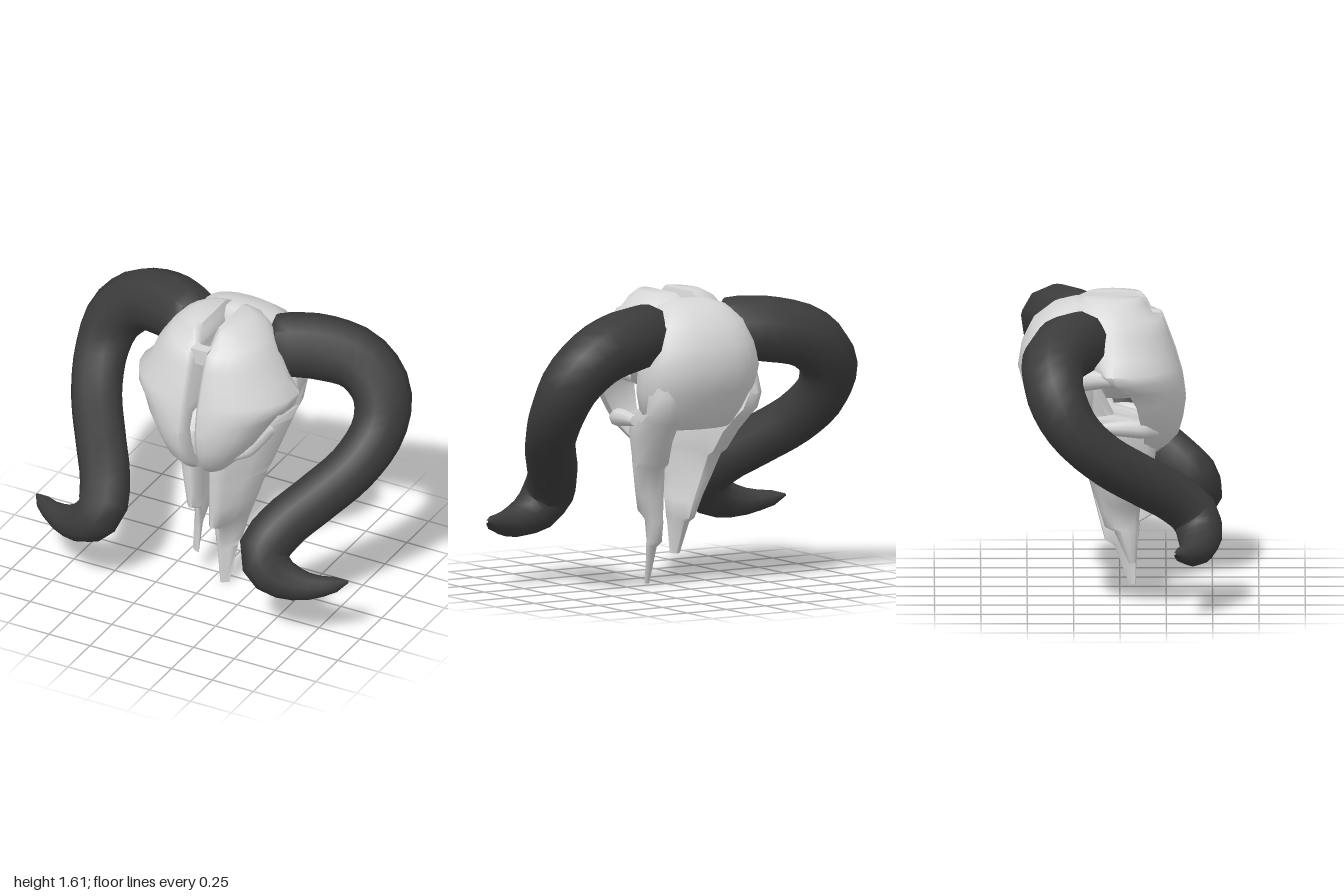
import * as THREE from 'three';
import { toCreasedNormals } from 'three/addons/utils/BufferGeometryUtils.js';

// Skin closed horizontal rings (listed from top to bottom); s = -1 mirrors in x
function loft(rings, s = 1) {
  const n = rings[0].length, pos = [], idx = [];
  const tri = (a, b, c) => (s > 0 ? idx.push(a, b, c) : idx.push(a, c, b));
  rings.forEach(r => r.forEach(([x, y, z]) => pos.push(x * s, y, z)));
  for (let i = 0; i < rings.length - 1; i++) {
    for (let j = 0; j < n; j++) {
      const a = i * n + j, b = i * n + (j + 1) % n;
      tri(a, a + n, b);
      tri(b, a + n, b + n);
    }
  }
  // end caps
  [0, rings.length - 1].forEach(i => {
    const mid = [0, 1, 2].map(k => rings[i].reduce((t, p) => t + p[k], 0) / n);
    const c = pos.length / 3;
    pos.push(mid[0] * s, mid[1], mid[2]);
    for (let j = 0; j < n; j++) {
      const a = i * n + j, b = i * n + (j + 1) % n;
      if (i === 0) tri(c, a, b); else tri(c, b, a);
    }
  });
  const g = new THREE.BufferGeometry();
  g.setAttribute('position', new THREE.Float32BufferAttribute(pos, 3));
  g.setIndex(idx);
  return toCreasedNormals(g, 0.95);
}

// D-shaped ring with a softened groove edge; a back z ahead of the widest z makes a hollow crescent
function faceRing([y, xIn, xOut, zF, zM, zB]) {
  const pts = [[xIn, y, zF - 0.03], [xIn + 0.025, y, zF - 0.003]];
  for (let k = 1; k <= 12; k++) {
    const a = (k / 12) * Math.PI, c = Math.cos(a);
    pts.push([xIn + (xOut - xIn) * Math.sin(a), y, zM + c * (c > 0 ? zF - zM : zM - zB)]);
  }
  return pts;
}

// Jaw ring: narrow front ridge, slanted flank, slightly hollow inner side
function jawRing([y, xIn, xOut, zF, zB]) {
  const shape = [[0, 0.94], [0.1, 1], [0.25, 1], [0.42, 0.9], [0.72, 0.6], [1, 0.28],
    [0.92, 0.1], [0.7, 0], [0.45, 0.02], [0.35, 0.2], [0.1, 0.6]];
  return shape.map(([u, v]) => [xIn + u * (xOut - xIn), y, zB + v * (zF - zB)]);
}

// Slightly squared oval ring across the whole width
function ovalRing([y, w, zF, zB]) {
  const pts = [], square = v => Math.sign(v) * Math.abs(v) ** 0.88;
  for (let k = 0; k < 20; k++) {
    const a = (k / 20) * Math.PI * 2;
    pts.push([w * square(Math.sin(a)), y, (zF + zB) / 2 + (zF - zB) / 2 * square(Math.cos(a))]);
  }
  return pts;
}

// Tube whose radius follows the fourth value of each path point
function taperedTube(path, s, steps, sides) {
  const curve = new THREE.CatmullRomCurve3(path.map(p => new THREE.Vector3(p[0] * s, p[1], p[2])));
  const g = new THREE.TubeGeometry(curve, steps, 1, sides);
  const pos = g.attributes.position, v = new THREE.Vector3();
  for (let i = 0; i < pos.count; i++) {
    const u = Math.floor(i / (sides + 1)) / steps;
    const t = curve.getUtoTmapping(u) * (path.length - 1);
    const k = Math.min(Math.floor(t), path.length - 2);
    const r = THREE.MathUtils.lerp(path[k][3], path[k + 1][3], t - k);
    const c = curve.getPointAt(u);
    v.fromBufferAttribute(pos, i).sub(c).multiplyScalar(r).add(c);
    pos.setXYZ(i, v.x, v.y, v.z);
  }
  g.deleteAttribute('uv');
  g.deleteAttribute('normal');
  return toCreasedNormals(g, 1.0);
}

// x, y, z, radius
const HORN = [
  [0.17, 1.405, -0.17, 0.01], [0.21, 1.405, -0.19, 0.155], [0.30, 1.4, -0.235, 0.175],
  [0.46, 1.39, -0.31, 0.18], [0.67, 1.335, -0.365, 0.17], [0.815, 1.2, -0.34, 0.162],
  [0.85, 1.03, -0.25, 0.148], [0.79, 0.86, -0.08, 0.14], [0.65, 0.71, 0.13, 0.138],
  [0.54, 0.6, 0.29, 0.138], [0.495, 0.49, 0.405, 0.14], [0.56, 0.395, 0.43, 0.125],
  [0.70, 0.345, 0.41, 0.09], [0.82, 0.345, 0.37, 0.06], [0.92, 0.365, 0.315, 0.035],
  [0.955, 0.375, 0.295, 0.006],
];

// y, inner x, outer x, front z, widest z, back z
const FACE = [
  [1.61, 0.05, 0.17, 0.12, -0.04, -0.18], [1.575, 0.04, 0.235, 0.15, -0.05, -0.25],
  [1.52, 0.03, 0.285, 0.18, -0.05, -0.28], [1.5, 0.03, 0.3, 0.235, -0.05, -0.28],
  [1.42, 0.03, 0.355, 0.265, -0.04, -0.27], [1.31, 0.03, 0.4, 0.305, -0.04, -0.22],
  [1.24, 0.03, 0.47, 0.325, -0.04, -0.18], [1.19, 0.03, 0.46, 0.34, -0.02, -0.08],
  [1.13, 0.03, 0.39, 0.35, 0.05, 0.24], [1.05, 0.03, 0.34, 0.36, 0.09, 0.27],
  [0.95, 0.03, 0.275, 0.345, 0.11, 0.25], [0.86, 0.03, 0.21, 0.32, 0.13, 0.22],
  [0.8, 0.03, 0.15, 0.265, 0.13, 0.16], [0.75, 0.03, 0.1, 0.195, 0.14, 0.14],
];

// wall between the eye sockets, same columns
const SOCKET_WALL = [
  [1.22, 0.03, 0.33, 0.18, 0, -0.16], [1.14, 0.03, 0.24, 0.15, 0, -0.16],
  [1.06, 0.03, 0.12, 0.11, 0, -0.14],
];

// y, inner x, outer x, front z, back z
const JAW = [
  [1.2, 0.17, 0.32, -0.12, -0.43], [1.08, 0.13, 0.335, -0.07, -0.46],
  [0.98, 0.09, 0.325, -0.03, -0.44], [0.93, 0.05, 0.315, 0.16, -0.41],
  [0.82, 0.03, 0.295, 0.2, -0.31], [0.69, 0.03, 0.255, 0.19, -0.24],
  [0.66, 0.03, 0.245, 0.19, -0.195], [0.5, 0.03, 0.2, 0.185, -0.15],
  [0.39, 0.03, 0.165, 0.18, -0.12], [0.35, 0.03, 0.15, 0.11, -0.11],
  [0.24, 0.035, 0.125, 0.1, -0.08], [0.21, 0.04, 0.12, 0.095, -0.03],
  [0, 0.055, 0.1, 0.085, 0.05],
];

// y, half width, front z, back z; the last rows turn up into the hollow underside
const CRANIUM = [
  [1.585, 0.1, -0.16, -0.27], [1.55, 0.2, -0.13, -0.37], [1.47, 0.28, -0.12, -0.47],
  [1.35, 0.33, -0.1, -0.53], [1.22, 0.352, -0.1, -0.55], [1.1, 0.345, -0.08, -0.515],
  [1.0, 0.315, -0.08, -0.465], [0.92, 0.26, -0.1, -0.42], [0.89, 0.21, -0.13, -0.39],
  [0.92, 0.16, -0.16, -0.36], [1.02, 0.1, -0.19, -0.32],
];

export function createModel() {
  const bone = new THREE.MeshStandardMaterial({ color: 0xd6d6d6 });
  bone.name = 'bone';
  const hornDark = new THREE.MeshStandardMaterial({ color: 0x3c3c3c });
  hornDark.name = 'dark horn';

  const model = new THREE.Group();
  model.name = 'hornedSkull';
  const add = (name, geo, mat) => {
    const m = new THREE.Mesh(geo, mat);
    m.name = name;
    model.add(m);
    return m;
  };

  add('cranium', loft(CRANIUM.map(ovalRing)), bone);

  for (const s of [1, -1]) {
    const side = s > 0 ? 'left' : 'right';
    add(side + 'Horn', taperedTube(HORN, s, 34, 10), hornDark);
    add(side + 'Face', loft(FACE.map(faceRing), s), bone);
    add(side + 'SocketWall', loft(SOCKET_WALL.map(faceRing), s), bone);

    // the right jaw is broken off shorter
    const jaw = s > 0 ? JAW : JAW.map(([y, a, b, f, k]) => [1 - (1 - y) * 0.85, a + 0.022, b + 0.025, f, k]);
    add(side + 'Jaw', loft(jaw.map(jawRing), s), bone);

    // arch behind the eye socket and the rim under it
    add(side + 'CheekArch', taperedTube([[0.42, 1.215, 0.04, 0.035], [0.4, 1.22, -0.06, 0.045],
      [0.32, 1.2, -0.2, 0.06]], s, 8, 8), bone);
    add(side + 'SocketRim', taperedTube([[0.18, 0.89, 0.2, 0.03], [0.23, 0.91, 0.12, 0.05],
      [0.25, 0.92, 0.02, 0.045], [0.26, 0.92, -0.1, 0.03]], s, 10, 8), bone);
  }

  // bridge joining the two halves of the brow
  const bridge = add('browBridge', new THREE.BoxGeometry(0.1, 0.09, 0.06), bone);
  bridge.position.set(0, 1.475, 0.19);

  return model;
}
